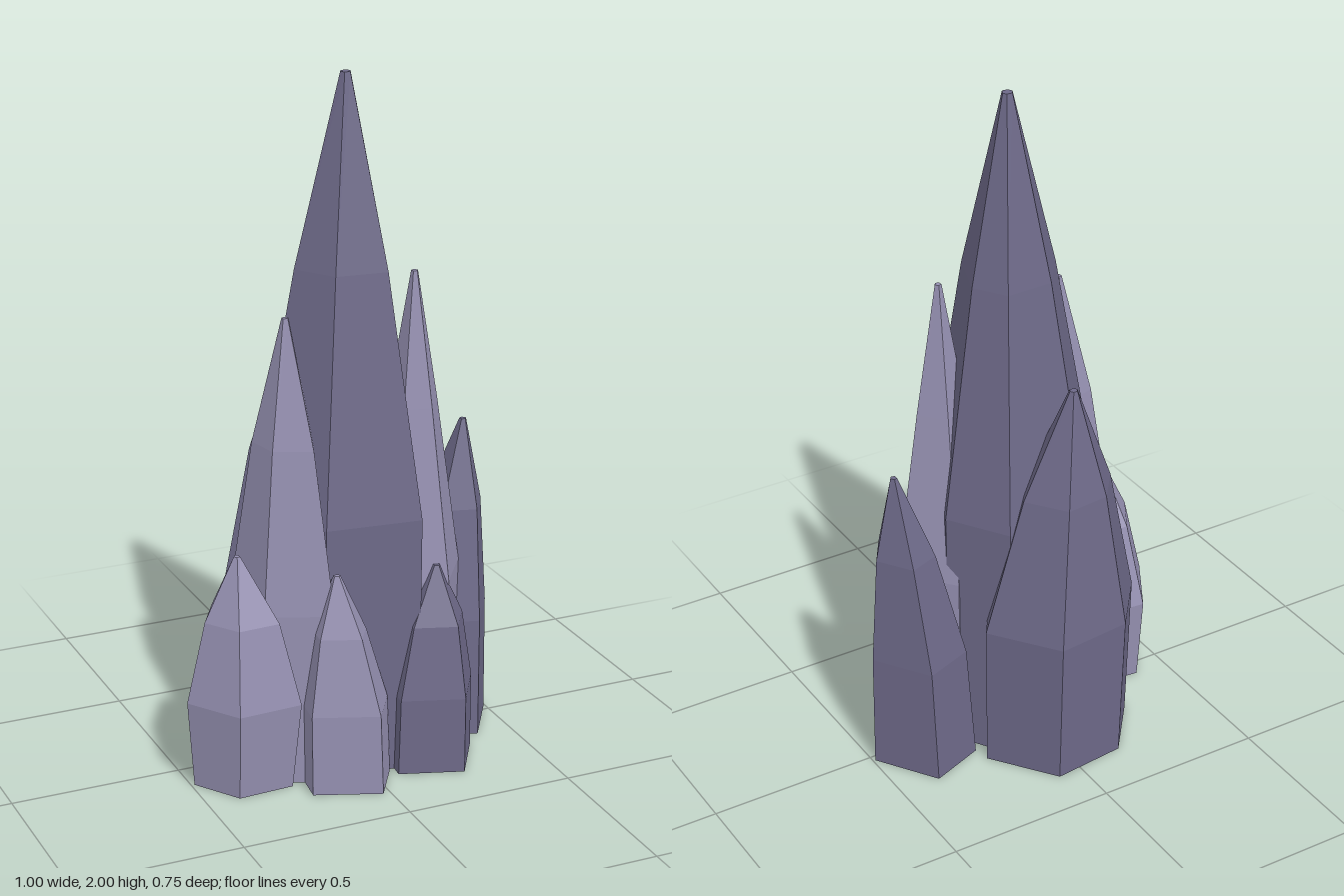
import * as THREE from 'three';

// Ring heights as a fraction of each spire's height: foot, waist, shoulder, tip
const LEVELS = [0, 0.38, 0.73, 1];

// A faceted spire: the waist outline (x, z corners by rising angle) is scaled
// and shifted towards the tip to make the other rings.
function spireGeometry({ tip, waist, foot = 1, shoulder = 0.58, tipRadius = 0.01 }) {
  const [tx, height, tz] = tip;
  const n = waist.length;
  const cx = waist.reduce((s, p) => s + p[0], 0) / n;
  const cz = waist.reduce((s, p) => s + p[1], 0) / n;
  const shifts = [-0.2, 0, 0.56, 1];
  const scales = [foot, 1, shoulder, 0];
  const rings = LEVELS.map((level, k) => waist.map(([x, z]) => {
    const dx = x - cx, dz = z - cz;
    const scale = k === 3 ? tipRadius / Math.hypot(dx, dz) : scales[k];
    return [
      cx + (tx - cx) * shifts[k] + dx * scale,
      level * height,
      cz + (tz - cz) * shifts[k] + dz * scale,
    ];
  }));

  const pos = [];
  const tri = (a, b, c) => pos.push(...a, ...b, ...c);
  const top = [tx, height, tz];
  const bottom = [cx - (tx - cx) * 0.2, 0, cz - (tz - cz) * 0.2];
  for (let i = 0; i < n; i++) {
    const j = (i + 1) % n;
    for (let k = 0; k < 3; k++) {
      const a = rings[k][i], b = rings[k][j], c = rings[k + 1][i], d = rings[k + 1][j];
      tri(a, c, b);
      tri(b, c, d);
    }
    tri(top, rings[3][j], rings[3][i]);
    tri(bottom, rings[0][i], rings[0][j]);
  }
  const geometry = new THREE.BufferGeometry();
  geometry.setAttribute('position', new THREE.Float32BufferAttribute(pos, 3));
  geometry.computeVertexNormals();
  return geometry;
}

export function createModel() {
  const group = new THREE.Group();
  group.name = 'crystalCluster';
  const dark = new THREE.MeshStandardMaterial({ color: 0x6d6988, flatShading: true });
  dark.name = 'dark violet stone';
  const light = new THREE.MeshStandardMaterial({ color: 0x9590b1, flatShading: true });
  light.name = 'pale violet stone';

  const spires = [
    { name: 'mainSpire', material: dark, tip: [0.02, 2, 0.01], shoulder: 0.54, tipRadius: 0.016,
      waist: [[0.25, -0.03], [0.15, 0.25], [-0.13, 0.22], [-0.27, 0.01], [-0.12, -0.19], [0.14, -0.2]] },
    { name: 'backSpire', material: dark, tip: [-0.045, 1.19, -0.23], foot: 0.97, tipRadius: 0.012,
      waist: [[0.215, -0.19], [0.09, 0], [-0.16, 0], [-0.28, -0.19], [-0.15, -0.355], [0.075, -0.38]] },
    { name: 'rightSpire', material: dark, tip: [0.405, 0.94, -0.015], foot: 1.1, shoulder: 0.62,
      waist: [[0.49, -0.018], [0.4, 0.125], [0.24, 0.08], [0.24, -0.12], [0.385, -0.175]] },
    { name: 'frontRightSpire', material: dark, tip: [0.215, 0.6, 0.21], foot: 1.03, shoulder: 0.68,
      waist: [[0.342, 0.19], [0.25, 0.34], [0.075, 0.28], [0.09, 0.12], [0.25, 0.075]] },
    { name: 'tallRightSpire', material: light, tip: [0.195, 1.44, 0.09], shoulder: 0.5,
      waist: [[0.35, 0.08], [0.25, 0.22], [0.09, 0.19], [0.07, 0.01], [0.23, -0.065]] },
    { name: 'tallLeftSpire', material: light, tip: [-0.2, 1.355, 0.1],
      waist: [[-0.06, 0.1], [-0.12, 0.255], [-0.3, 0.175], [-0.335, 0], [-0.16, -0.05]] },
    { name: 'lowLeftSpire', material: light, tip: [-0.36, 0.69, 0.125], foot: 0.87, shoulder: 0.65,
      waist: [[-0.22, 0.25], [-0.41, 0.26], [-0.51, 0.11], [-0.405, -0.07], [-0.25, -0.055]] },
    { name: 'frontLowSpire', material: light, tip: [-0.11, 0.635, 0.245], foot: 1.03, shoulder: 0.6,
      waist: [[0.045, 0.25], [-0.03, 0.37], [-0.21, 0.3], [-0.19, 0.14], [0, 0.11]] },
  ];

  for (const spire of spires) {
    const mesh = new THREE.Mesh(spireGeometry(spire), spire.material);
    mesh.name = spire.name;
    group.add(mesh);
  }
  return group;
}
